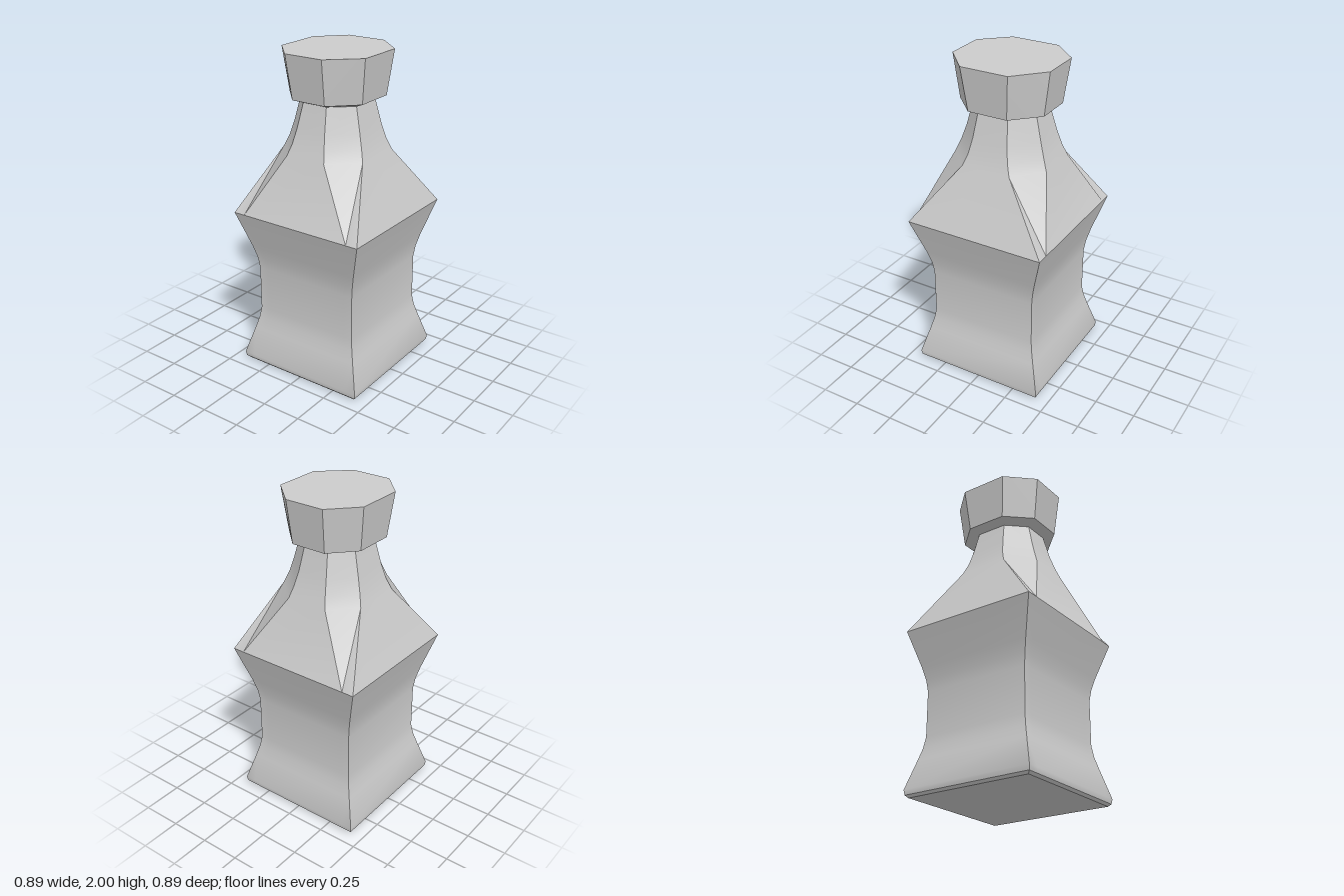
import * as THREE from 'three';
import { toCreasedNormals } from 'three/addons/utils/BufferGeometryUtils.js';

// Eight-point ring: side flats reach x = ±hx (z = ±s), front and back flats reach z = ±hz (x = fl..fr)
const ring = (y, hx, hz, s, fl, fr) => [
  [hx, s], [hx, -s], [fr, -hz], [fl, -hz], [-hx, -s], [-hx, s], [fl, hz], [fr, hz],
].map(([x, z]) => new THREE.Vector3(x, y, z));

// Square ring in the same point order, so that it blends into the octagons
const square = (y, h) => ring(y, h, h, h, -0.83 * h, 0.83 * h);

// Skin a stack of rings, bottom to top, and close both ends
function loft(name, rings, material) {
  const points = [];
  for (let i = 0; i < rings.length - 1; i++) {
    const lo = rings[i], hi = rings[i + 1];
    for (let k = 0; k < 8; k++) {
      const n = (k + 1) % 8;
      const a = lo[k], b = lo[n], c = hi[n], d = hi[k];
      if (k % 4 === 1) points.push(a, b, d, b, c, d);
      else points.push(a, b, c, a, c, d);
    }
  }
  const bottom = rings[0], top = rings[rings.length - 1];
  for (let k = 1; k < 7; k++) {
    points.push(bottom[0], bottom[k + 1], bottom[k]);
    points.push(top[0], top[k], top[k + 1]);
  }
  const geometry = toCreasedNormals(new THREE.BufferGeometry().setFromPoints(points), 0.5);
  const mesh = new THREE.Mesh(geometry, material);
  mesh.name = name;
  return mesh;
}

export function createModel() {
  const group = new THREE.Group();
  group.name = 'bottle';
  const material = new THREE.MeshStandardMaterial({ color: 0xcccccc });

  // Square waisted body with a small bevel at the foot
  const body = [
    [0, 0.405], [0.015, 0.42], [0.045, 0.425], [0.22, 0.375], [0.29, 0.356], [0.36, 0.345],
    [0.64, 0.345], [0.71, 0.354], [0.79, 0.374], [1.02, 0.445],
  ].map(([y, h]) => square(y, h));
  group.add(loft('body', body, material));

  // Shoulder turning the square into the octagonal neck
  group.add(loft('shoulderAndNeck', [
    square(1.02, 0.445),
    ring(1.40, 0.283, 0.305, 0.155, -0.145, 0.12),
    ring(1.47, 0.258, 0.277, 0.13, -0.125, 0.102),
    ring(1.56, 0.233, 0.248, 0.113, -0.11, 0.086),
    ring(1.72, 0.195, 0.207, 0.095, -0.09, 0.07),
  ], material));

  // Flared octagonal stopper
  group.add(loft('stopper', [
    ring(1.705, 0.2, 0.21, 0.095, -0.09, 0.07),
    ring(1.73, 0.257, 0.275, 0.125, -0.12, 0.105),
    ring(2, 0.29, 0.312, 0.15, -0.138, 0.114),
  ], material));

  return group;
}
